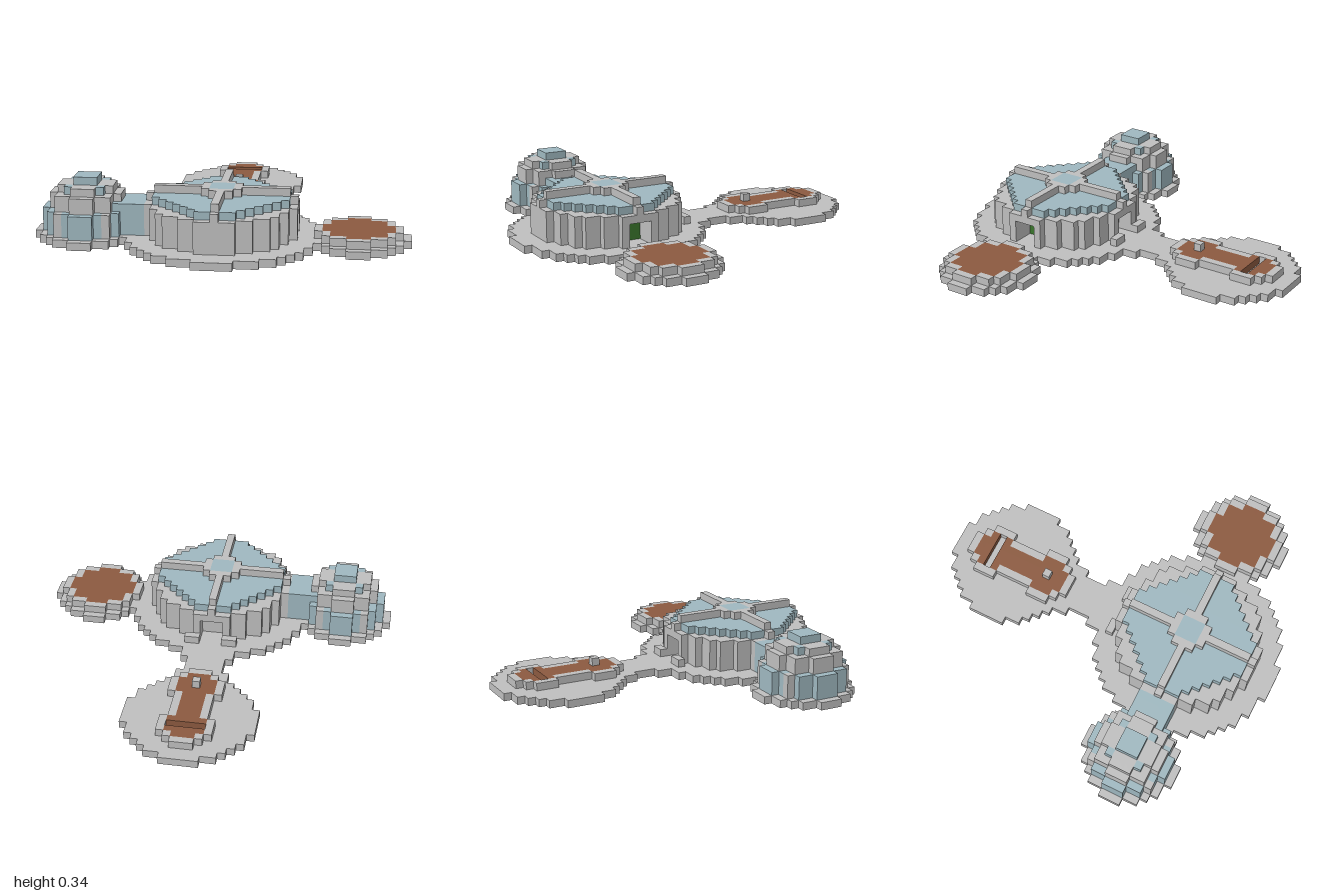
import * as THREE from 'three';

const U = 2 / 47; // edge of one cube; the plan is 47 x 47 cubes

const mat = (name, color) => {
  const m = new THREE.MeshStandardMaterial({ color });
  m.name = name;
  return m;
};

// Plan rules: each returns a test on a cube's (x, z) column
const disc = (cx, cz, r) => (x, z) => (x - cx) ** 2 + (z - cz) ** 2 <= (r + 0.25) ** 2;
const rect = (x0, x1, z0, z1) => (x, z) => x >= x0 && x <= x1 && z >= z0 && z <= z1;

// Six cube faces: outward direction and four corners, counter-clockwise
const FACES = [
  [[1, 0, 0], [[1, 0, 1], [1, 0, 0], [1, 1, 0], [1, 1, 1]]],
  [[-1, 0, 0], [[0, 0, 0], [0, 0, 1], [0, 1, 1], [0, 1, 0]]],
  [[0, 1, 0], [[0, 1, 1], [1, 1, 1], [1, 1, 0], [0, 1, 0]]],
  [[0, -1, 0], [[0, 0, 0], [1, 0, 0], [1, 0, 1], [0, 0, 1]]],
  [[0, 0, 1], [[0, 0, 1], [1, 0, 1], [1, 1, 1], [0, 1, 1]]],
  [[0, 0, -1], [[1, 0, 0], [0, 0, 0], [0, 1, 0], [1, 1, 0]]],
];

export function createModel() {
  const stone = mat('stone', 0xbfbfbf);
  const glass = mat('glass', 0x9fb8c0);
  const soil = mat('soil', 0x8c5a40);
  const plants = mat('plants', 0x39752c);

  const cubes = new Map();
  const parts = new Map();
  const key = (x, y, z) => `${x},${y},${z}`;

  // Fill layers y0 to y1 wherever the test holds; later parts replace earlier ones
  function fill(part, material, y0, y1, test) {
    if (part) parts.set(part, material);
    for (let x = -23; x <= 23; x++)
      for (let z = -23; z <= 23; z++)
        if (test(x, z))
          for (let y = y0; y < y1; y++) {
            if (part) cubes.set(key(x, y, z), { part, x, y, z });
            else cubes.delete(key(x, y, z));
          }
  }

  // Base: hall platform, three satellites and the north causeway
  const discs = [[0, 11, 12], [0, -15, 8], [17, 11, 6], [-17, 11, 6]];
  for (const d of discs) fill('basePlatform', stone, 0, 1, disc(...d));
  fill('basePlatform', stone, 0, 1, rect(-2, 2, -8, 0));
  for (const z of [-7, -2]) fill('basePlatform', stone, 0, 1, rect(-3, 3, z, z + 1));

  // Round planting bed
  fill('roundBedRim', stone, 1, 2, disc(17, 11, 5));
  fill('roundBedSoil', soil, 1, 2, disc(17, 11, 4));

  // Long bed with wide ends, a cross trench and a small post
  const bed = (x, z) => {
    const d = Math.abs(z + 14);
    const half = d > 6 ? -1 : d === 6 || d < 3 ? 1 : 2;
    return Math.abs(x) <= half;
  };
  const bedRim = (x, z) => bed(x, z) || bed(x - 1, z) || bed(x + 1, z) || bed(x, z - 1) || bed(x, z + 1);
  fill('longBedRim', stone, 1, 2, bedRim);
  fill('longBedSoil', soil, 1, 2, bed);
  fill(null, null, 1, 2, rect(-2, 2, -18, -18));
  fill('bedPost', stone, 2, 3, rect(0, 0, -10, -10));

  // Glazed passage from the hall to the side tower
  fill('passage', glass, 1, 5, rect(-14, -8, 9, 13));

  // Main hall: round wall, glass roof, raised ribs and central skylight
  fill('hallWall', stone, 1, 5, disc(0, 11, 9));
  fill('hallRoof', glass, 5, 6,
    (x, z) => disc(0, 11, 8)(x, z) && Math.abs(x) + Math.abs(z - 11) <= 10);
  for (const [y, r] of [[5, 9], [6, 8]]) {
    fill('roofRibs', stone, y, y + 1, rect(-r, r, 11, 11));
    fill('roofRibs', stone, y, y + 1, rect(0, 0, 11 - r, 11 + r));
  }
  fill('roofRibs', stone, 6, 7, disc(0, 11, 2));
  fill('skylight', glass, 6, 7, rect(-1, 1, 10, 12));

  // East doorway showing the indoor garden, and the north doorway with posts
  fill('indoorGarden', plants, 1, 4, rect(6, 6, 10, 12));
  fill(null, null, 1, 4, rect(7, 9, 10, 12));
  fill(null, null, 1, 4, rect(-1, 1, 1, 3));
  for (const x of [-3, 2]) fill('doorPosts', stone, 1, 2, rect(x, x + 1, 1, 1));

  // Side tower: glass walls with stone pillars under a stepped dome
  fill('towerWindows', glass, 1, 4, disc(-17, 11, 5));
  for (const dx of [-3, 3])
    for (const dz of [-4, 4])
      fill('towerPillars', stone, 1, 4, rect(dx - 17, dx - 17, dz + 11, dz + 11));
  fill('towerDome', stone, 4, 6, disc(-17, 11, 4));
  fill('towerDome', stone, 6, 7, disc(-17, 11, 3));
  for (const dx of [-2, 2])
    for (const dz of [-2, 2])
      fill('domeWindows', glass, 6, 7, rect(dx - 17, dx - 17, dz + 11, dz + 11));
  fill('towerLantern', glass, 7, 8, rect(-18, -16, 10, 12));

  // One mesh per part, keeping only the exposed cube faces
  const group = new THREE.Group();
  group.name = 'domedComplex';
  for (const [part, material] of parts) {
    const pos = [], nor = [], idx = [];
    for (const c of cubes.values()) {
      if (c.part !== part) continue;
      for (const [n, corners] of FACES) {
        if (cubes.has(key(c.x + n[0], c.y + n[1], c.z + n[2]))) continue;
        const b = pos.length / 3;
        for (const [i, j, k] of corners) {
          pos.push((c.x - 0.5 + i) * U, (c.y + j) * U, (c.z - 0.5 + k) * U);
          nor.push(...n);
        }
        idx.push(b, b + 1, b + 2, b, b + 2, b + 3);
      }
    }
    if (!idx.length) continue;
    const geo = new THREE.BufferGeometry();
    geo.setAttribute('position', new THREE.Float32BufferAttribute(pos, 3));
    geo.setAttribute('normal', new THREE.Float32BufferAttribute(nor, 3));
    geo.setIndex(idx);
    const mesh = new THREE.Mesh(geo, material);
    mesh.name = part;
    group.add(mesh);
  }
  return group;
}
